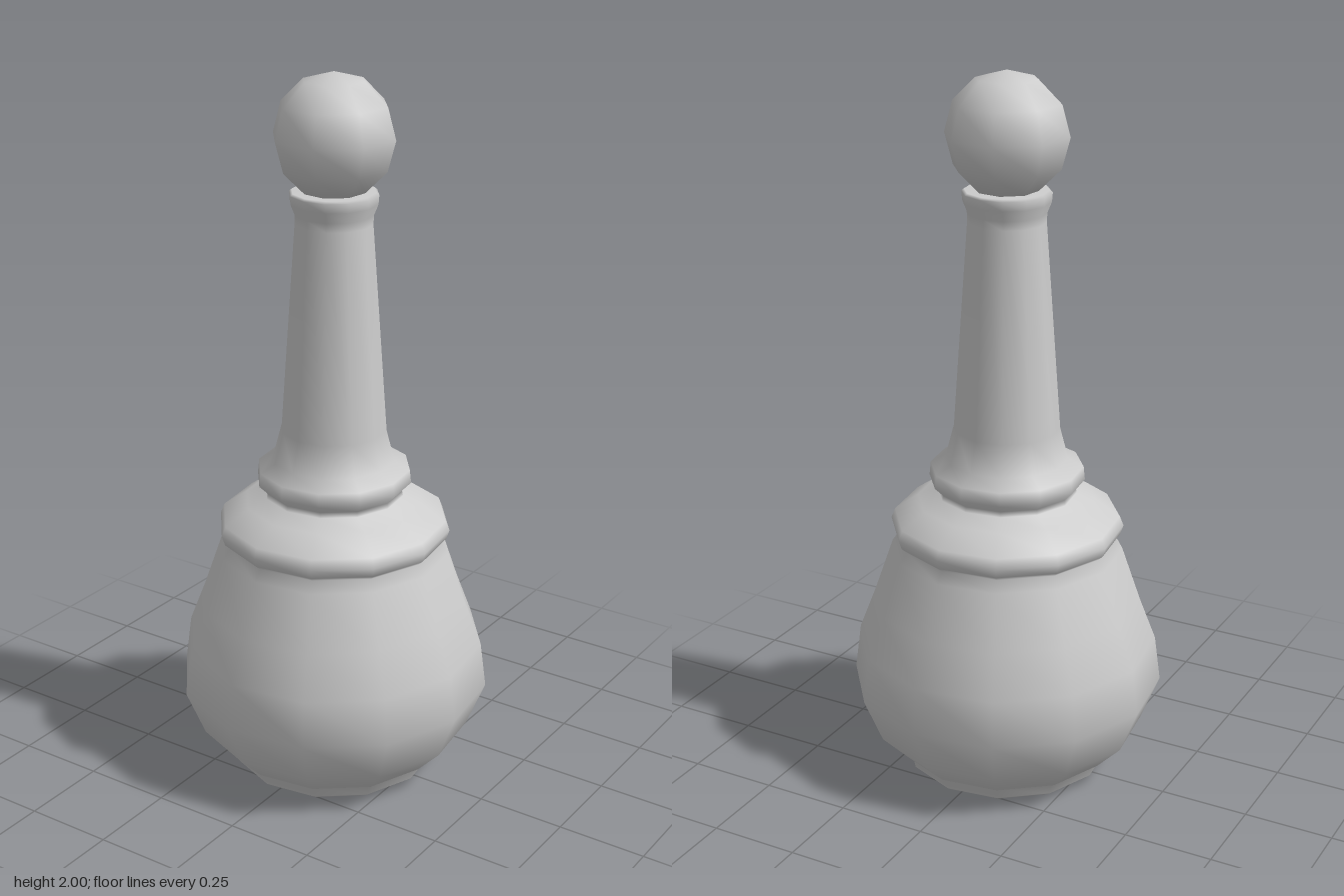
import * as THREE from 'three';

const SIDES = 12;
const TURN = THREE.MathUtils.degToRad(-7);

// Smooth twelve-sided turned piece from [radius, height] pairs, bottom to top
function turned(name, profile, material) {
  const points = profile.map(([r, y]) => new THREE.Vector2(r, y));
  const mesh = new THREE.Mesh(new THREE.LatheGeometry(points, SIDES, TURN), material);
  mesh.name = name;
  return mesh;
}

export function createModel() {
  const group = new THREE.Group();
  group.name = 'turnedFinial';
  const grey = new THREE.MeshStandardMaterial({ color: 0xcccccc });
  grey.name = 'light grey';

  // Foot, rounded belly, two beads, tapering neck and collar in one turning
  group.add(turned('turnedBody', [
    [0, 0.004], [0.275, 0.004], [0.29, 0.015], [0.296, 0.045], // foot
    [0.315, 0.055], [0.388, 0.13], [0.441, 0.26], [0.424, 0.39], // belly
    [0.378, 0.51], [0.325, 0.665], [0.303, 0.695],
    [0.318, 0.708], [0.327, 0.735], [0.316, 0.762], [0.25, 0.808], // wide bead
    [0.195, 0.83], [0.192, 0.845], [0.217, 0.87], [0.213, 0.908], [0.17, 0.932], // small bead
    [0.147, 1.02], [0.106, 1.6], // neck
    [0.107, 1.625], [0.119, 1.655], [0.121, 1.68], [0.114, 1.686], [0, 1.686], // collar
  ], grey));

  // Eight-sided ball on top
  const ball = new THREE.Mesh(new THREE.SphereGeometry(0.169, 8, 6), grey);
  ball.name = 'topBall';
  ball.position.y = 1.831;
  ball.rotation.y = THREE.MathUtils.degToRad(15.5);
  group.add(ball);

  return group;
}
